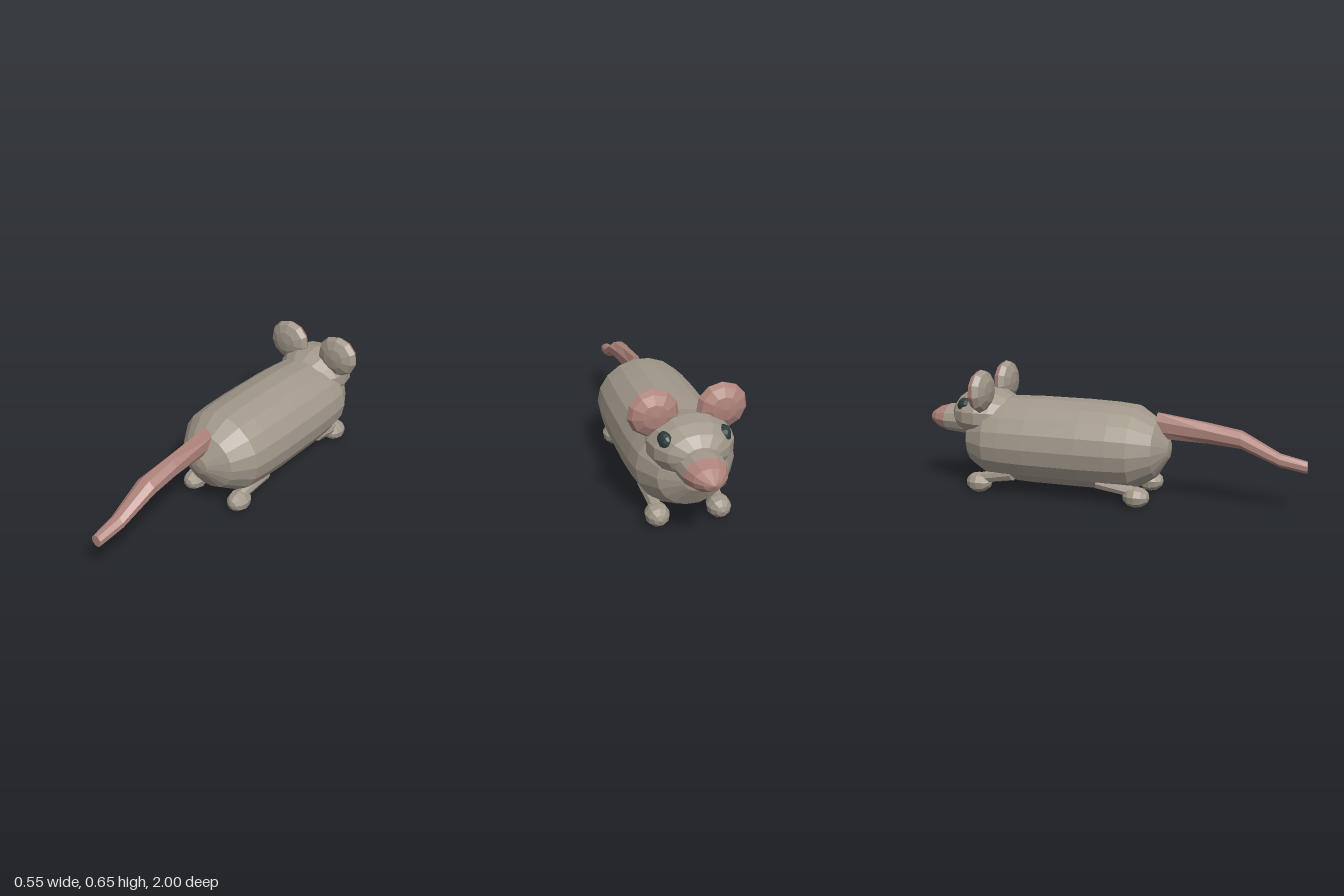
import * as THREE from 'three';

const mat = (name, color) => {
  const m = new THREE.MeshStandardMaterial({ color, flatShading: true });
  m.name = name;
  return m;
};

export function createModel() {
  const fur = mat('greyFur', 0xa1978a);
  const pink = mat('pinkSkin', 0xae837b);
  const dark = mat('darkEye', 0x2c3a3a);

  const group = new THREE.Group();
  const add = (name, geo, material) => {
    const mesh = new THREE.Mesh(geo, material);
    mesh.name = name;
    group.add(mesh);
    return mesh;
  };

  // Ellipsoid, or a slice of one, with its pole pointing forward (-z)
  const ellipsoid = (c, r, sides, rings, from = 0, to = Math.PI, phase = Math.PI / 2) =>
    new THREE.SphereGeometry(1, sides, rings, phase, Math.PI * 2, from, to - from)
      .rotateX(-Math.PI / 2).scale(...r).translate(...c);

  // Barrel body: (radius, distance forward)
  const profile = [
    [0, -0.33], [0.05, -0.323], [0.16, -0.262], [0.235, -0.155], [0.245, -0.05], [0.25, 0.1],
    [0.25, 0.38], [0.244, 0.52], [0.232, 0.61], [0.165, 0.722], [0.06, 0.775], [0, 0.78],
  ].map(([r, y]) => new THREE.Vector2(r, y));
  add('body', new THREE.LatheGeometry(profile, 18, Math.PI / 2)
    .rotateX(-Math.PI / 2).scale(1, 0.91, 1).translate(0, 0.27, 0), fur);

  // Head, snout and pink nose
  add('head', ellipsoid([0, 0.4, -0.66], [0.2, 0.135, 0.185], 14, 8), fur);
  const snout = [[0, 0.357, -0.8], [0.112, 0.08, 0.195], 12];
  add('snout', ellipsoid(...snout, 4, 1.135, Math.PI), fur);
  add('nose', ellipsoid(...snout, 3, 0, 1.135), pink);

  // Tail: octagonal cross-sections [z, y, halfWidth, halfHeight]
  const sections = [
    [0.26, 0.39, 0.032, 0.066], [0.52, 0.368, 0.044, 0.05], [0.68, 0.348, 0.053, 0.042],
    [0.87, 0.26, 0.038, 0.031], [1.0, 0.234, 0.028, 0.029],
  ];
  const sides = 8, pos = [], idx = [];
  for (const [z, y, w, h] of sections) {
    for (let i = 0; i < sides; i++) {
      const a = ((i + 0.5) / sides) * Math.PI * 2;
      pos.push(Math.cos(a) * w * 1.05, y + Math.sin(a) * h * 1.05, z);
    }
  }
  for (let s = 0; s < sections.length - 1; s++) {
    for (let i = 0; i < sides; i++) {
      const a = s * sides + i, b = s * sides + ((i + 1) % sides);
      idx.push(a, b, b + sides, a, b + sides, a + sides);
    }
  }
  const last = (sections.length - 1) * sides;
  for (let i = 1; i < sides - 1; i++) {
    idx.push(0, i + 1, i, last, last + i, last + i + 1);
  }
  const tail = new THREE.BufferGeometry();
  tail.setAttribute('position', new THREE.Float32BufferAttribute(pos, 3));
  tail.setIndex(idx);
  tail.computeVertexNormals();
  add('tail', tail, pink);

  // Tapered leg between two points
  const leg = (from, to) => {
    const a = new THREE.Vector3(...from), b = new THREE.Vector3(...to);
    const dir = b.clone().sub(a);
    const geo = new THREE.CylinderGeometry(0.036, 0.028, dir.length(), 8);
    geo.applyQuaternion(new THREE.Quaternion().setFromUnitVectors(
      new THREE.Vector3(0, 1, 0), dir.normalize()));
    const mid = a.add(b).multiplyScalar(0.5);
    return geo.translate(mid.x, mid.y, mid.z);
  };

  for (const [side, s] of [['left', 1], ['right', -1]]) {
    // Ears: furry back, pink front
    const ear = [[s * 0.157, 0.54, -0.625], [0.118, 0.111, 0.055], 11, 3];
    add(side + 'EarInner', ellipsoid(...ear, 0, Math.PI / 2), pink);
    add(side + 'EarBack', ellipsoid(...ear, Math.PI / 2, Math.PI), fur);

    // Eyes, turned slightly outward
    const eye = add(side + 'Eye', ellipsoid([0, 0, 0], [0.033, 0.044, 0.046], 10, 7), dark);
    eye.position.set(s * 0.132, 0.452, -0.73);
    eye.rotation.y = s * 0.2;

    // Legs and round feet
    for (const [end, z, inner] of [['Front', -0.66, -0.47], ['Back', 0.19, -0.01]]) {
      add(side + end + 'Leg', leg([s * 0.145, 0.075, z], [s * 0.152, 0.115, inner]), fur);
      add(side + end + 'Foot', ellipsoid([s * 0.146, 0.054, z], [0.058, 0.054, 0.069], 9, 6), fur);
    }
  }
  return group;
}
